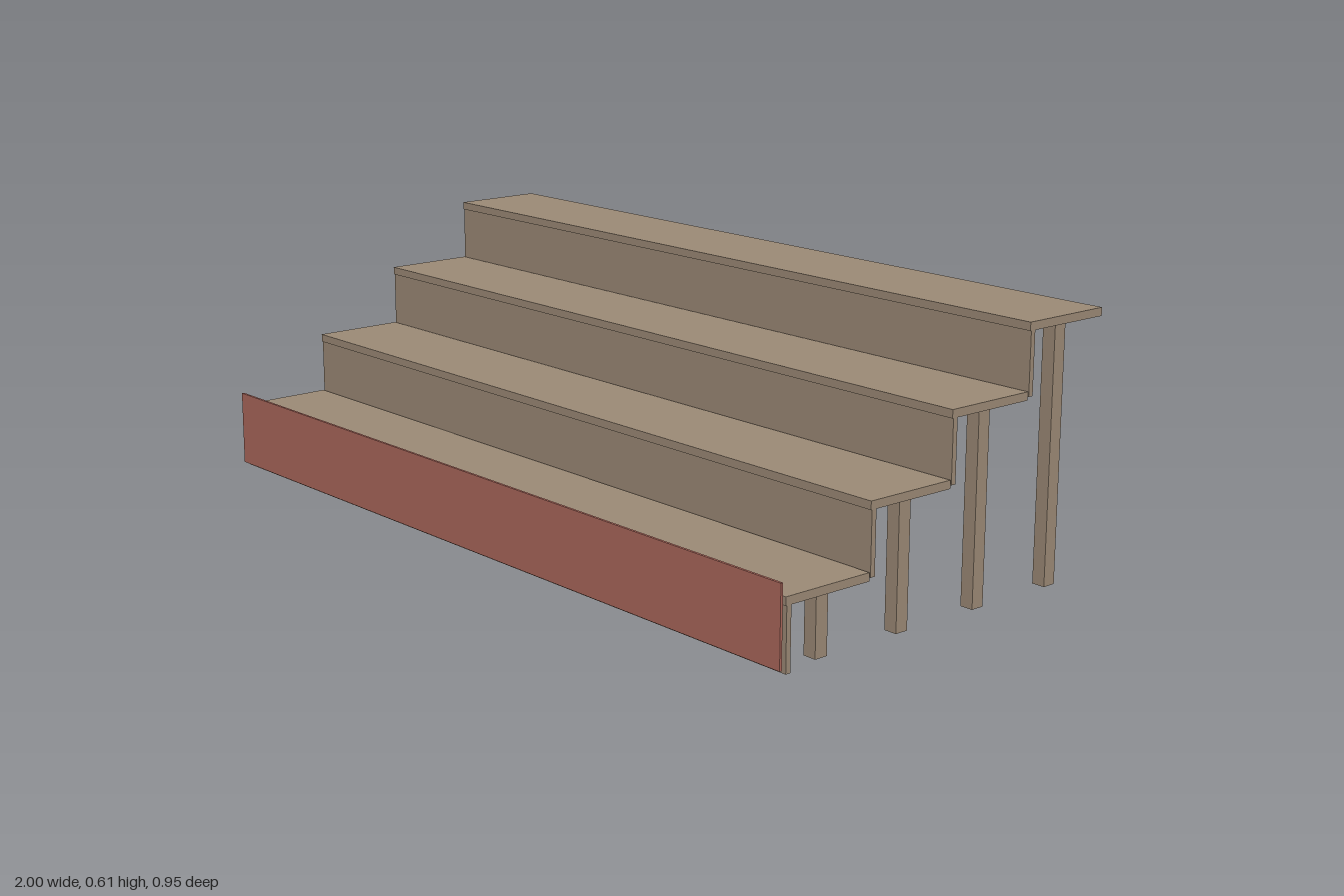
import * as THREE from 'three';

const wood = new THREE.MeshStandardMaterial({ color: 0x9d8b77 });
wood.name = 'brown wood';
const red = new THREE.MeshStandardMaterial({ color: 0xac685c });
red.name = 'red panel';

const STEPS = 4, RISE = 0.15, RUN = 0.233;
const FRONT = 0.459, TREAD = 0.019, POST = 0.033;

// Box given by its minimum and maximum corners
function box(name, material, [x0, y0, z0], [x1, y1, z1]) {
  const mesh = new THREE.Mesh(new THREE.BoxGeometry(x1 - x0, y1 - y0, z1 - z0), material);
  mesh.position.set((x0 + x1) / 2, (y0 + y1) / 2, (z0 + z1) / 2);
  mesh.name = name;
  return mesh;
}

export function createModel() {
  const model = new THREE.Group();
  model.name = 'bleachers';

  for (let i = 0; i < STEPS; i++) {
    const tier = new THREE.Group();
    tier.name = `tier${i + 1}`;
    const front = FRONT - i * RUN;
    const top = 0.162 + i * RISE;
    const under = top - TREAD;

    // Seat board and the riser below its front edge
    tier.add(box('tread', wood, [-1, under, front - RUN], [1, top, front]));
    tier.add(box('riser', wood, [-1, i * RISE, front - 0.0155], [1, under, front - 0.003]));

    // Four posts under the middle of the board
    const z = front - RUN / 2;
    for (const x of [-0.967, -0.333, 0.333, 0.967]) {
      tier.add(box('post', wood,
        [x - POST / 2, 0.003, z - POST / 2], [x + POST / 2, under, z + POST / 2]));
    }
    model.add(tier);
  }

  // Thin panel standing just ahead of the lowest tier
  model.add(box('frontPanel', red, [-1, 0.01, 0.467], [1, 0.193, 0.473]));
  return model;
}
